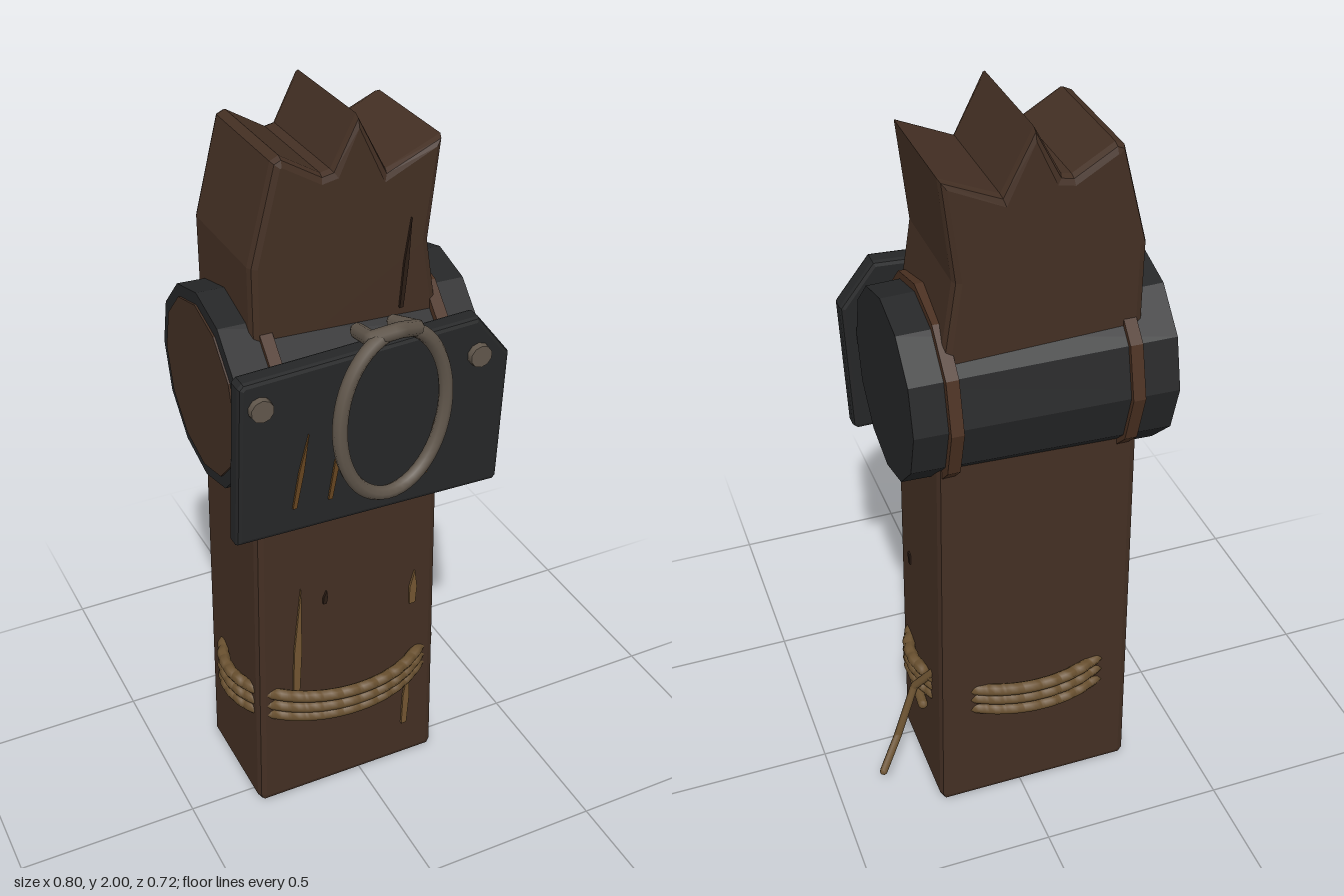
import * as THREE from 'three';

const mat = (name, color, extra = {}) => {
  const m = new THREE.MeshStandardMaterial({ color, ...extra });
  m.name = name;
  return m;
};

export function createModel() {
  const wood = mat('dark wood', 0x432f23, { flatShading: true });
  const iron = mat('black iron', 0x252627, { flatShading: true });
  const strapBrown = mat('strap brown', 0x4a3021, { flatShading: true });
  const steel = mat('worn steel', 0x60564b);
  const rope = mat('rope', 0x6a5130);
  const splinter = mat('pale splinter', 0x725531, { flatShading: true });
  const rust = mat('rust', 0x65441f, { flatShading: true });
  const crack = mat('crack', 0x2a1c14, { flatShading: true });

  const model = new THREE.Group();
  const add = (name, geometry, material, x = 0, y = 0, z = 0) => {
    const mesh = new THREE.Mesh(geometry, material);
    mesh.name = name;
    mesh.position.set(x, y, z);
    model.add(mesh);
    return mesh;
  };
  const V = (p) => new THREE.Vector3(...p);

  // Extruded outline between two z values, with bevels kept inside the outline
  const slab = (points, z0, z1, bevel) => {
    const g = new THREE.ExtrudeGeometry(new THREE.Shape(points.map((p) => new THREE.Vector2(...p))), {
      depth: z1 - z0 - 2 * bevel, bevelEnabled: bevel > 0, bevelThickness: bevel,
      bevelSize: bevel, bevelOffset: -bevel, bevelSegments: 2,
    });
    return g.translate(0, 0, z0 + bevel);
  };

  // Tube through straight-segment points, closed at the ends with small balls
  const rod = (name, points, radius, material) => {
    const path = new THREE.CurvePath();
    for (let i = 1; i < points.length; i++) path.add(new THREE.LineCurve3(V(points[i - 1]), V(points[i])));
    add(name, new THREE.TubeGeometry(path, points.length * 8, radius, 8), material);
    for (const p of [points[0], points[points.length - 1]]) {
      add(name + 'End', new THREE.SphereGeometry(radius, 8, 6), material, ...p);
    }
  };

  // Thin sliver lying on a front face
  const sliver = (name, [x0, y0], [x1, y1], width, z, material) => {
    const mx = (x0 + x1) / 2, my = (y0 + y1) / 2, w = width / 2;
    add(name, slab([[x1, y1], [mx + w, my], [x0 + w, y0], [x0 - w * 0.6, y0], [mx - w, my]], z, z + 0.008, 0), material);
  };

  // Broken post with a splintered top
  add('post', slab([
    [-0.305, 0.0], [0.225, 0.0], [0.235, 0.02], [0.222, 1.2], [0.205, 1.48], [0.178, 1.66],
    [0.207, 1.915], [0.065, 1.855], [-0.01, 2.0], [-0.075, 1.88], [-0.1, 1.875], [-0.2, 1.935],
    [-0.222, 1.925], [-0.287, 1.68], [-0.288, 1.4], [-0.317, 0.02],
  ], -0.283, 0.065, 0.02), wood);

  // Splinters and cracks on the post
  sliver('splinterLeft', [-0.205, 0.31], [-0.18, 0.73], 0.022, 0.064, splinter);
  sliver('splinterRightUpper', [0.152, 0.57], [0.16, 0.68], 0.022, 0.064, splinter);
  sliver('splinterRightLower', [0.135, 0.13], [0.15, 0.34], 0.02, 0.064, splinter);
  sliver('splinterTop', [-0.128, 0.98], [-0.122, 1.06], 0.012, 0.064, splinter);
  sliver('crackFront', [-0.112, 0.66], [-0.105, 0.7], 0.012, 0.064, crack);
  sliver('crackTop', [0.1, 1.5], [0.125, 1.73], 0.012, 0.064, crack);
  add('crackSide', new THREE.BoxGeometry(0.006, 0.035, 0.014), crack, 0.229, 0.685, -0.022);

  // Tapered iron drum running through the post
  add('drum', new THREE.CylinderGeometry(0.258, 0.239, 0.658, 12).rotateZ(Math.PI / 2), iron, -0.031, 1.308, -0.098);
  add('drumEndWood', new THREE.CylinderGeometry(0.226, 0.226, 0.008, 12).rotateZ(Math.PI / 2), wood, -0.361, 1.308, -0.098);
  for (const [x, r] of [[-0.252, 0.267], [0.198, 0.261]]) {
    add('drumStrap', new THREE.CylinderGeometry(r, r, 0.032, 12).rotateZ(Math.PI / 2), strapBrown, x, 1.308, -0.098);
  }

  // Front plate with a clipped corner
  add('plate', slab([
    [-0.402, 1.03], [0.308, 1.015], [0.318, 1.025], [0.334, 1.385], [0.245, 1.5], [-0.368, 1.472], [-0.38, 1.46],
  ], 0.145, 0.201, 0.012), iron);
  for (const x of [-0.33, 0.245]) {
    add('rivet', new THREE.CylinderGeometry(0.029, 0.031, 0.02, 10).rotateX(Math.PI / 2), steel, x, 1.402, 0.208);
  }
  for (const [x, top] of [[-0.21, 1.3], [-0.115, 1.31], [0.145, 1.31]]) {
    sliver('rustStreak', [x - 0.042, 1.1], [x, top], 0.013, 0.199, rust);
  }

  // Hanging oval ring and the hook that holds it
  const oval = [];
  for (let i = 0; i < 28; i++) {
    const a = (i / 28) * Math.PI * 2;
    const c = Math.cos(a);
    oval.push(new THREE.Vector3(-0.043 + 0.15 * c, 1.375 + 0.216 * Math.sin(a), 0.313 - 0.024 * c));
  }
  add('ring', new THREE.TubeGeometry(new THREE.CatmullRomCurve3(oval, true), 56, 0.018, 8, true), steel);
  rod('hook', [[-0.088, 1.553, 0.215], [-0.1, 1.58, 0.305], [-0.043, 1.605, 0.337], [0.02, 1.58, 0.305], [0.006, 1.553, 0.215]], 0.019, steel);

  // Three rope turns, sinking into the post at its corners
  for (let k = 0; k < 3; k++) {
    const pts = [];
    for (let i = 0; i < 72; i++) {
      const a = (i / 72) * Math.PI * 2;
      const wob = 0.002 * (i % 2 ? 1 : -1);
      pts.push(new THREE.Vector3(
        -0.042 + (0.294 + wob) * Math.cos(a),
        0.329 + 0.034 * k + 0.006 * Math.cos(a + k) + wob,
        -0.088 + (0.229 + wob) * Math.sin(a)));
    }
    add('ropeTurn', new THREE.TubeGeometry(new THREE.CatmullRomCurve3(pts, true), 144, 0.017, 7, true), rope);
  }

  // Knot and loose end
  rod('ropeKnot', [[0.25, 0.318, -0.1], [0.258, 0.316, -0.2]], 0.014, rope);
  rod('ropeTail', [[0.225, 0.42, -0.195], [0.268, 0.345, -0.155], [0.328, 0.205, -0.185], [0.388, 0.138, -0.24]], 0.011, rope);

  return model;
}
